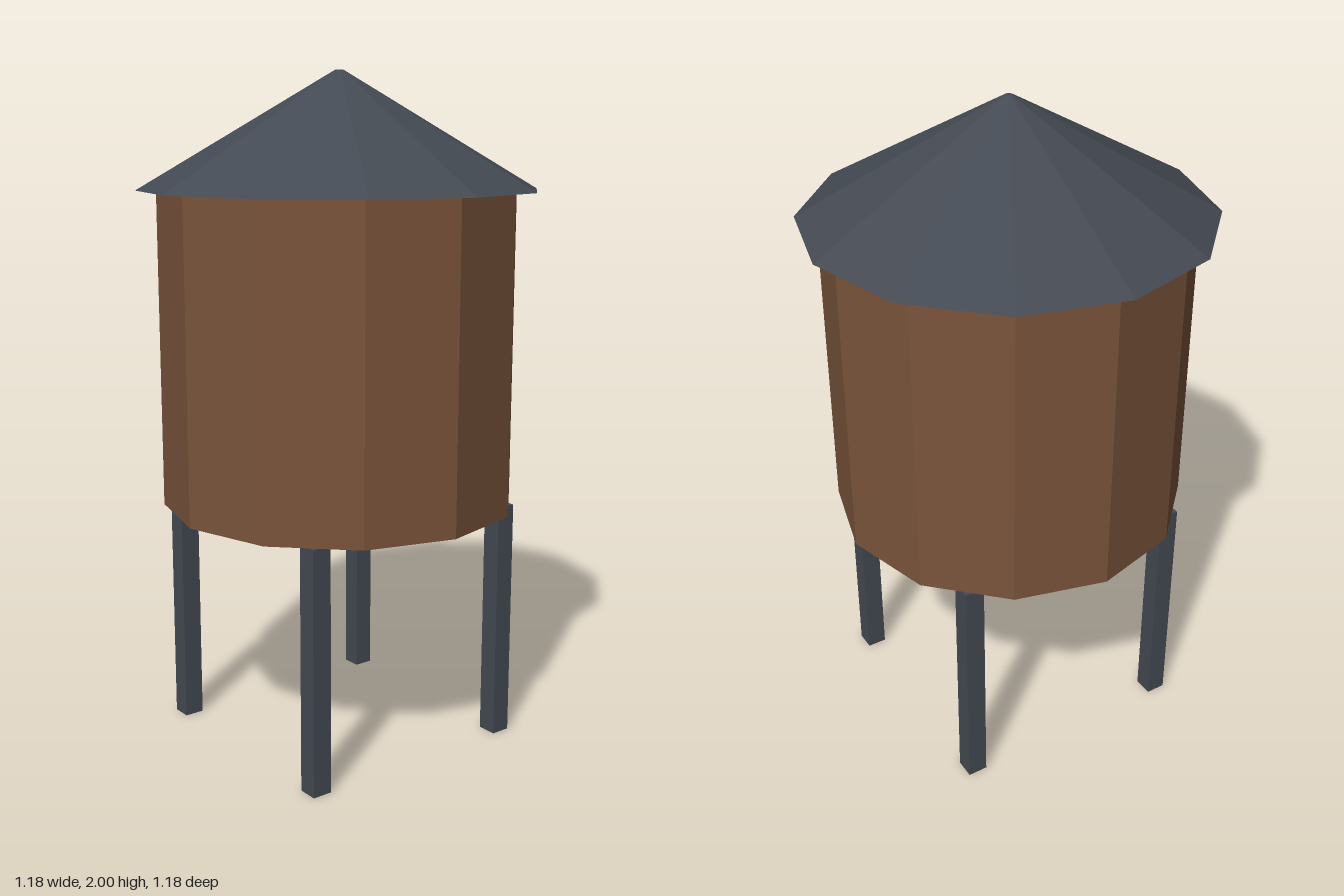
import * as THREE from 'three';

export function createModel() {
  const model = new THREE.Group();
  model.name = 'waterTower';

  const wood = new THREE.MeshStandardMaterial({ color: 0x7a543b, flatShading: true });
  wood.name = 'brown wood';
  const metal = new THREE.MeshStandardMaterial({ color: 0x444a53, flatShading: true });
  metal.name = 'dark slate metal';

  const SIDES = 12;
  const LEG_TOP = 0.725, TANK_TOP = 1.66, ROOF_TOP = 2;

  function add(name, geometry, material, x, y, z) {
    const mesh = new THREE.Mesh(geometry, material);
    mesh.name = name;
    mesh.position.set(x, y, z);
    model.add(mesh);
  }

  // Twelve-sided tank
  const tankHeight = TANK_TOP - LEG_TOP;
  add('tank', new THREE.CylinderGeometry(0.532, 0.532, tankHeight, SIDES), wood,
    0, LEG_TOP + tankHeight / 2, 0);

  // Overhanging roof with a tiny flat tip
  const roofHeight = ROOF_TOP - TANK_TOP;
  add('roof', new THREE.CylinderGeometry(0.012, 0.592, roofHeight, SIDES), metal,
    0, TANK_TOP + roofHeight / 2, 0);

  // Four square legs
  const legGeometry = new THREE.BoxGeometry(0.06, LEG_TOP, 0.06);
  for (const [xName, x] of [['Left', 1], ['Right', -1]]) {
    for (const [zName, z] of [['front', 1], ['back', -1]]) {
      add(`${zName}${xName}Leg`, legGeometry, metal, x * 0.344, LEG_TOP / 2, z * 0.344);
    }
  }

  return model;
}
